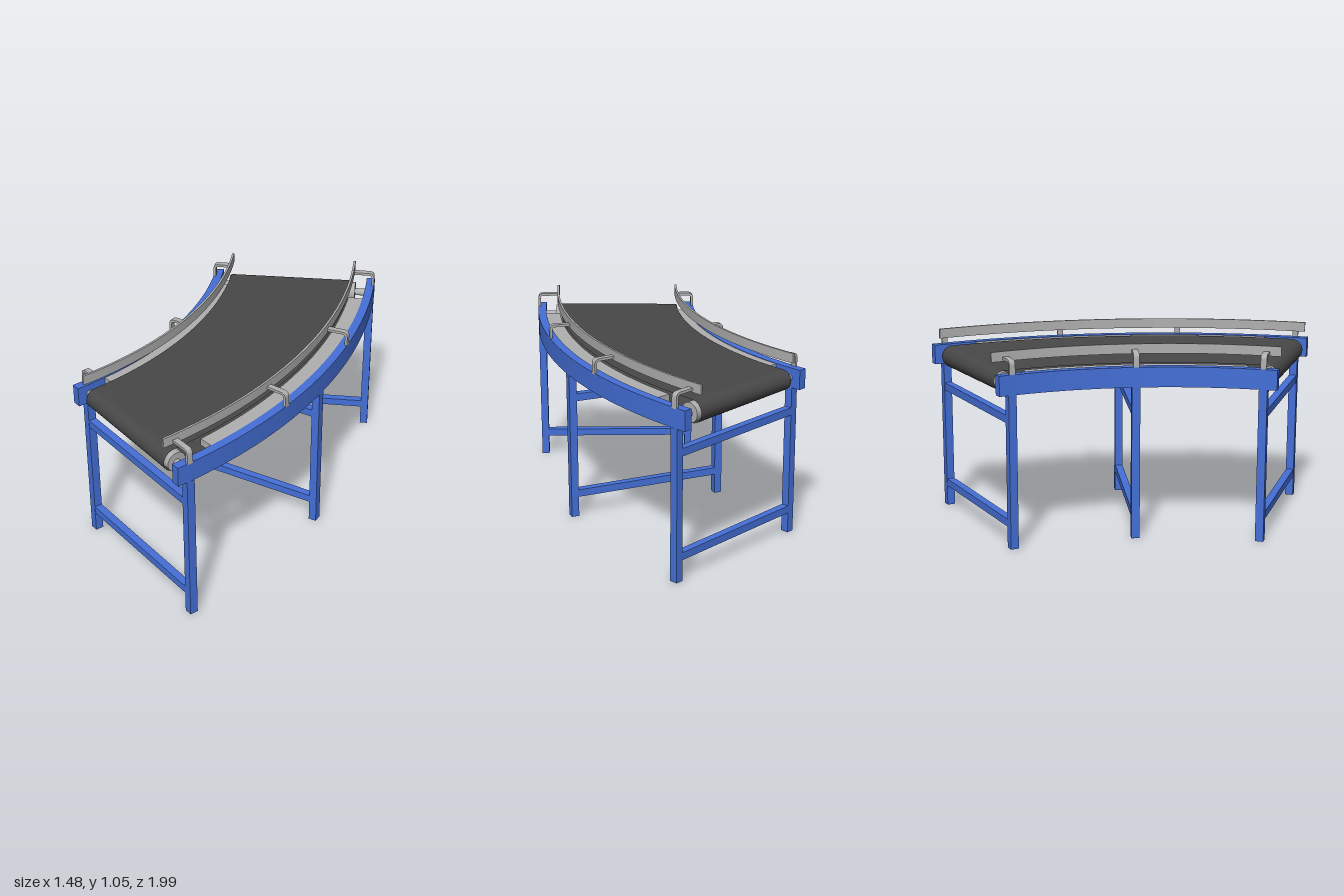
import * as THREE from 'three';
import { toCreasedNormals } from 'three/addons/utils/BufferGeometryUtils.js';

const blue = new THREE.MeshStandardMaterial({ color: 0x4570d8 });
blue.name = 'blue frame';
const grey = new THREE.MeshStandardMaterial({ color: 0xb0b0b0 });
grey.name = 'grey metal';
const dark = new THREE.MeshStandardMaterial({ color: 0x484848, side: THREE.DoubleSide });
dark.name = 'dark belt';

const TURN = Math.PI / 4;
const INSET = 0.075; // distance of end frames from the ends
const R_IN = 1.89, R_OUT = 2.82, RAIL = 0.047;
const DEG = Math.PI / 180;

function add(parent, name, geometry, material, x = 0, y = 0, z = 0) {
  const m = new THREE.Mesh(geometry, material);
  m.name = name;
  m.position.set(x, y, z);
  parent.add(m);
  return m;
}

// Curved bar with a rectangular section, swept about the turn centre
function arcBar(r0, r1, y0, y1, a0 = 0, a1 = TURN) {
  const s = new THREE.Shape();
  s.absarc(0, 0, r1, a0, a1, false);
  s.absarc(0, 0, r0, a1, a0, true);
  const g = new THREE.ExtrudeGeometry(s, { depth: y1 - y0, bevelEnabled: false, curveSegments: 32 });
  g.rotateX(-Math.PI / 2);
  g.translate(0, y0, 0);
  return toCreasedNormals(g, 0.5);
}

// Endless belt: top run, rounded end, bottom run, rounded end; slightly conical
function beltGeometry() {
  const RUN = 40, CAP = 14, inset = 0.07, yc = 0.894;
  const loop = (r, rad) => {
    const a0 = inset / r, a1 = TURN - inset / r, pts = [];
    const put = (a, y) => pts.push([r * Math.cos(a), y, -r * Math.sin(a)]);
    for (let i = 0; i < RUN; i++) put(a0 + (a1 - a0) * i / RUN, yc + rad);
    for (let i = 0; i < CAP; i++) {
      const t = Math.PI * i / CAP;
      put(a1 + rad * Math.sin(t) / r, yc + rad * Math.cos(t));
    }
    for (let i = 0; i < RUN; i++) put(a1 + (a0 - a1) * i / RUN, yc - rad);
    for (let i = 0; i < CAP; i++) {
      const t = Math.PI * i / CAP;
      put(a0 - rad * Math.sin(t) / r, yc - rad * Math.cos(t));
    }
    return pts;
  };
  const inner = loop(1.99, 0.055), outer = loop(2.69, 0.061);
  const n = inner.length, index = [];
  for (let i = 0; i < n; i++) {
    const j = (i + 1) % n;
    index.push(i, n + i, j, j, n + i, n + j);
  }
  const g = new THREE.BufferGeometry();
  g.setAttribute('position', new THREE.Float32BufferAttribute([...inner, ...outer].flat(), 3));
  g.setIndex(index);
  g.computeVertexNormals();
  return g;
}

// Bent flat bracket that rises from a rail and reaches over to the guide
function bracketGeometry(rFoot, rTip) {
  const s = Math.sign(rTip - rFoot), t = 0.014, top = 1.024, base = 0.94, c = 0.03;
  const p = new THREE.Shape();
  p.moveTo(rFoot, base);
  p.lineTo(rFoot, top - c);
  p.quadraticCurveTo(rFoot, top, rFoot + s * c, top);
  p.lineTo(rTip, top);
  p.lineTo(rTip, top - t);
  p.lineTo(rFoot + s * c, top - t);
  p.quadraticCurveTo(rFoot + s * t, top - t, rFoot + s * t, top - c);
  p.lineTo(rFoot + s * t, base);
  p.closePath();
  const g = new THREE.ExtrudeGeometry(p, { depth: 0.032, bevelEnabled: false, curveSegments: 6 });
  g.translate(0, 0, -0.016);
  return toCreasedNormals(g, 0.6);
}

// Group whose local x points outward along the radius at the given angle
function station(parent, name, angle) {
  const g = new THREE.Group();
  g.name = name;
  g.rotation.y = angle;
  parent.add(g);
  return g;
}

export function createModel() {
  const model = new THREE.Group();
  model.name = 'curvedConveyor';
  const turn = new THREE.Group();
  turn.name = 'conveyorTurn';
  turn.position.set(-2.08, 0, 0.997);
  model.add(turn);

  // Side rails, filler plates and guides
  add(turn, 'innerRail', arcBar(R_IN, R_IN + RAIL, 0.838, 0.947), blue);
  add(turn, 'outerRail', arcBar(R_OUT - RAIL, R_OUT, 0.838, 0.947), blue);
  add(turn, 'innerPlate', arcBar(R_IN + RAIL, 1.988, 0.907, 0.944, 5 * DEG, 40 * DEG), grey);
  add(turn, 'outerPlate', arcBar(2.693, R_OUT - RAIL, 0.907, 0.944, 5 * DEG, 40 * DEG), grey);
  add(turn, 'innerGuide', arcBar(1.986, 1.998, 1.0, 1.053), grey);
  add(turn, 'outerGuide', arcBar(2.693, 2.705, 1.0, 1.053), grey);

  add(turn, 'belt', beltGeometry(), dark);

  // Leg frames at both ends and the middle
  const legX = [1.914, 2.798], mid = (legX[0] + legX[1]) / 2;
  const legGeo = new THREE.BoxGeometry(0.043, 0.838, 0.045);
  const barGeo = new THREE.BoxGeometry(legX[1] - legX[0] - 0.043, 0.042, 0.042);
  [[0, -INSET], [TURN / 2, 0], [TURN, INSET]].forEach(([angle, z]) => {
    const f = station(turn, 'legFrame', angle);
    for (const x of legX) add(f, 'leg', legGeo, blue, x, 0.419, z);
    for (const y of [0.136, 0.704]) add(f, 'crossBar', barGeo, blue, mid, y, z);
  });

  // End rollers on their shafts
  const rollerGeo = new THREE.CylinderGeometry(0.053, 0.05, 0.73, 32).rotateZ(-Math.PI / 2);
  const shaftGeo = new THREE.CylinderGeometry(0.02, 0.02, R_OUT - R_IN - 2 * RAIL, 16).rotateZ(-Math.PI / 2);
  for (const [angle, z] of [[0, -0.07], [TURN, 0.07]]) {
    const e = station(turn, 'endRoller', angle);
    add(e, 'roller', rollerGeo, grey, 2.347, 0.894, z);
    add(e, 'shaft', shaftGeo, grey, (R_IN + R_OUT) / 2, 0.891, z);
  }

  // Guide brackets
  const innerGeo = bracketGeometry(R_IN, 1.988), outerGeo = bracketGeometry(R_OUT, 2.703);
  for (const a of [2.25, 22.5, 42.75]) add(station(turn, 'innerBracket', a * DEG), 'bracket', innerGeo, grey);
  for (const a of [1.5, 15.5, 29.5, 43.5]) add(station(turn, 'outerBracket', a * DEG), 'bracket', outerGeo, grey);

  return model;
}
